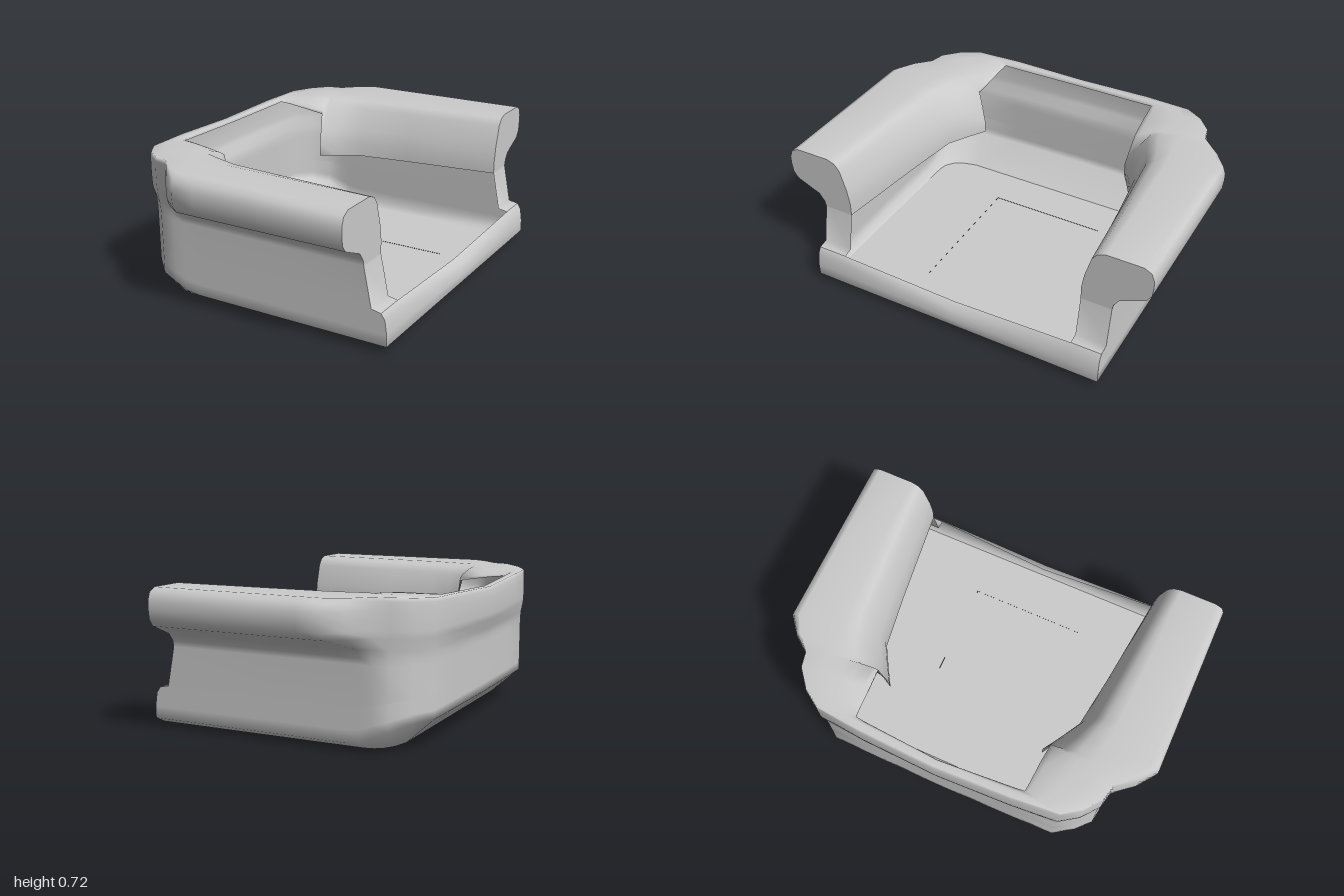
import * as THREE from 'three';

const material = new THREE.MeshStandardMaterial({ color: 0xcccccc, side: THREE.DoubleSide });

function addMesh(group, name, geometry) {
  const mesh = new THREE.Mesh(geometry, material);
  mesh.name = name;
  group.add(mesh);
  return mesh;
}

// Smooth surface through rows of points (rows go up, columns go left as seen from outside)
function loft(rows) {
  const n = rows[0].length, index = [];
  for (let r = 0; r < rows.length - 1; r++) {
    for (let c = 0; c < n - 1; c++) {
      const a = r * n + c, d = a + n;
      index.push(a, d, d + 1, a, d + 1, a + 1);
    }
  }
  const g = new THREE.BufferGeometry();
  g.setAttribute('position', new THREE.Float32BufferAttribute(rows.flat(2), 3));
  g.setIndex(index);
  g.computeVertexNormals();
  return g;
}

const lerp = THREE.MathUtils.lerp;
const BASE = 0.015;

// Left half of the shell in plan, front end to middle of the back:
// wall x,z | rim x,z | inner edge x,z | bottom x,z | chamfer height, inner edge height, top height
const STATIONS = [
  [0.61, 0.81, 0.61, 1.00, 0.61, 0.65, 0.71, 0.77, 0.04, 0.41, 0.72],
  [0.10, 0.81, 0.10, 1.00, 0.10, 0.59, 0.10, 0.77, 0.04, 0.41, 0.72],
  [-0.18, 0.81, -0.18, 1.00, -0.18, 0.55, -0.18, 0.77, 0.04, 0.41, 0.72],
  [-0.32, 0.81, -0.30, 1.00, -0.30, 0.48, -0.32, 0.77, 0.04, 0.41, 0.72],
  [-0.40, 0.81, -0.39, 0.93, -0.38, 0.43, -0.40, 0.77, 0.05, 0.41, 0.72],
  [-0.46, 0.81, -0.47, 0.83, -0.39, 0.47, -0.45, 0.76, 0.08, 0.65, 0.72],
  [-0.54, 0.80, -0.55, 0.81, -0.50, 0.46, -0.49, 0.73, 0.11, 0.67, 0.72],
  [-0.62, 0.73, -0.64, 0.74, -0.60, 0.455, -0.52, 0.68, 0.14, 0.685, 0.715],
  [-0.69, 0.63, -0.70, 0.65, -0.66, 0.45, -0.54, 0.60, 0.15, 0.69, 0.71],
  [-0.695, 0.40, -0.725, 0.40, -0.665, 0.40, -0.54, 0.40, 0.15, 0.685, 0.705],
  [-0.70, 0.00, -0.74, 0.00, -0.69, 0.00, -0.54, 0.00, 0.15, 0.67, 0.69],
];

// Section rows: position across (0 inner edge, 1 wall, 2 rim) and height
const SECTION = [
  [1, BASE], [1, 0.04], [1, 0.1], [1, 0.17], [1, 0.2], [1, 0.21], [1, 0.41], [1.03, 0.44],
  [1.18, 0.48], [1.84, 0.535], [1.97, 0.57], [2, 0.62], [2, 0.66], [1.92, 0.7], [1.72, 0.72],
  [0.7, 0.72], [0.45, 0.705], [0.28, 0.67], [0.08, 0.56], [0, 0.48], [0, 0.41],
];
// Front edge of the side walls, following the lip
const FRONT_X = [0.71, 0.73, 0.73, 0.72, 0.7, 0.65];

function shellPoint(station, first, row) {
  const [lx, lz, fx, fz, ix, iz, bx, bz, chamfer, innerY, top] = station;
  const [a, h] = SECTION[row];
  if (row === 0) return [bx, BASE, bz];
  let x = a > 1 ? lerp(lx, fx, a - 1) : lerp(ix, lx, a);
  const z = a > 1 ? lerp(lz, fz, a - 1) : lerp(iz, lz, a);
  let y = h;
  if (h <= 0.41 && a === 1) y = chamfer + (h - 0.04) * (0.41 - chamfer) / 0.37;
  else if (a < 1) y = top - (0.72 - h) * (top - innerY) / 0.31;
  else y = 0.41 + (h - 0.41) * (top - 0.41) / 0.31;
  if (first && row < FRONT_X.length) x = FRONT_X[row];
  return [x, y, z];
}

export function createModel() {
  const group = new THREE.Group();
  group.name = 'openTubSeat';

  // Outer walls, rolled arms and back rim in one sheet, mirrored about z = 0
  const rows = SECTION.map((_, r) => {
    const half = STATIONS.map((s, i) => shellPoint(s, i === 0, r));
    const other = half.slice(0, -1).reverse().map(([x, y, z]) => [x, y, -z]);
    return [...half, ...other];
  });
  addMesh(group, 'armsAndBack', loft(rows));

  // Floor with an opening for the base panel
  const floor = new THREE.Shape(rows[0].map(([x, , z]) => new THREE.Vector2(x, z)));
  floor.holes.push(new THREE.Path([[-0.32, -0.32], [-0.32, 0.32], [0.46, 0.32], [0.46, -0.32]]
    .map(([x, z]) => new THREE.Vector2(x, z))));
  const floorMesh = addMesh(group, 'floor', new THREE.ShapeGeometry(floor).rotateX(Math.PI / 2));
  floorMesh.position.y = BASE;

  // Base panel set slightly below the floor
  const panel = addMesh(group, 'basePanel', new THREE.BoxGeometry(0.78, 0.014, 0.64));
  panel.position.set(0.07, 0.007, 0);

  // Rolled front lip, sagging toward the middle
  const lip = [0, 1, 2, 3, 4].map((r) => [-0.81, -0.65, -0.33, 0, 0.33, 0.65, 0.81].map((z) => {
    const sag = Math.max(0, 1 - Math.abs(z) / 0.65);
    const x = FRONT_X[r] - (r === 4 ? 0.02 * sag : 0);
    const y = SECTION[r][1] * (r > 1 ? 1 - 0.225 * sag : 1);
    return [x, y, r === 0 && Math.abs(z) > 0.8 ? Math.sign(z) * 0.77 : z];
  }));
  addMesh(group, 'frontLip', loft(lip));

  // Arm fronts: sloped foot and flat end of the rolled arm
  for (const side of [1, -1]) {
    const edges = side > 0 ? [0.65, 0.81] : [-0.81, -0.65];
    const foot = [[0.7, 0.2], [0.65, 0.21], [0.61, 0.41]].map(([x, y]) => edges.map((z) => [x, y, z]));
    addMesh(group, 'armFoot', loft(foot));

    const outline = rows.slice(6).map((row) => new THREE.Vector2(-side * row[0][2], row[0][1]));
    const end = new THREE.ShapeGeometry(new THREE.Shape(outline)).rotateY(Math.PI / 2);
    addMesh(group, 'armEnd', end).position.x = 0.61;
  }
  return group;
}
